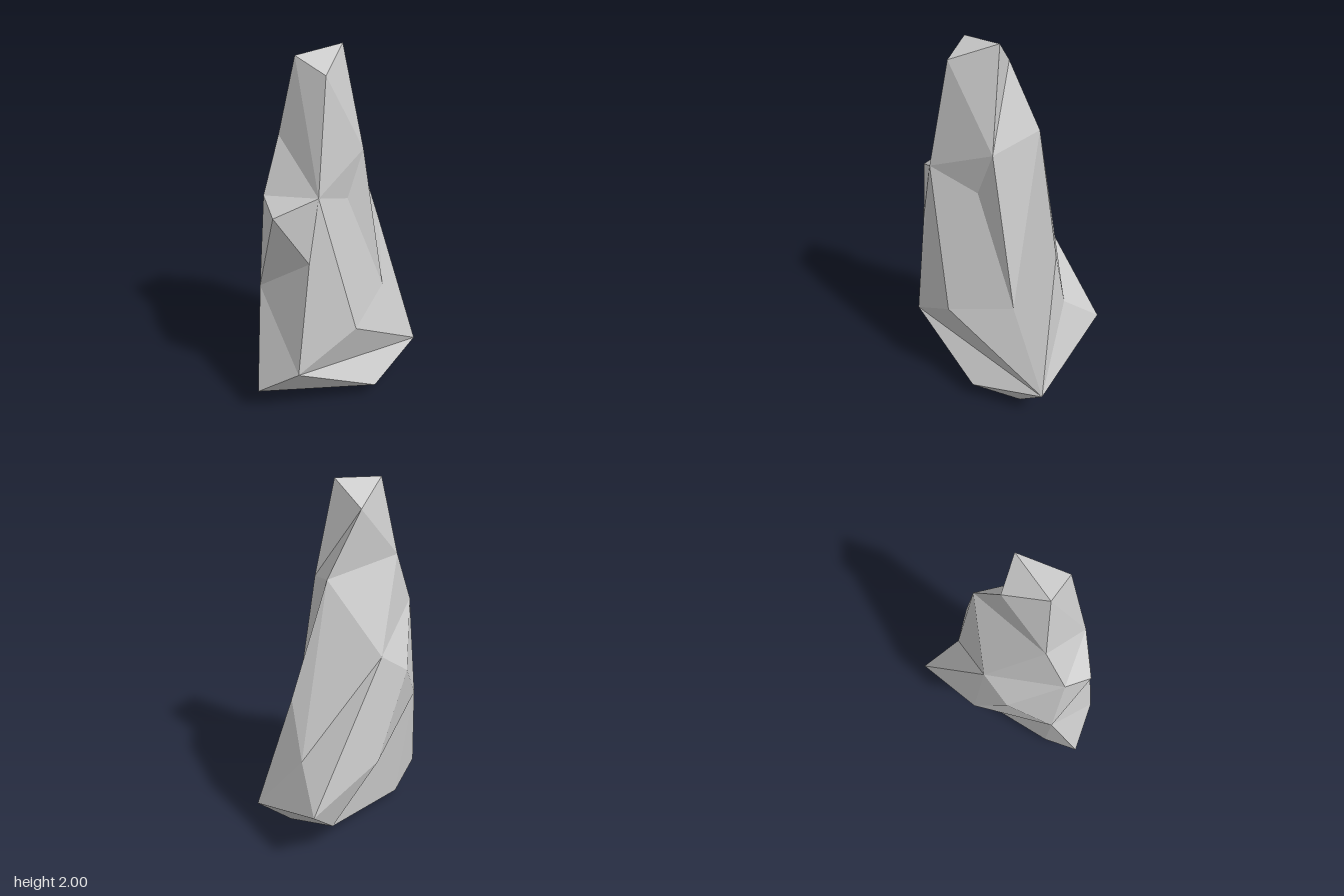
import * as THREE from 'three';

// Corners of the stone, grouped from the peak down to the foot.
const corners = {
  // peak
  A: [0.06, 2.0, 0.04], D: [0.01, 1.87, -0.1], B: [-0.195, 1.975, -0.01], C: [-0.155, 1.91, 0.165],
  // shoulder
  F: [0.105, 1.48, 0.152], G: [0.212, 1.56, -0.087], I: [-0.25, 1.58, -0.08], E: [-0.25, 1.34, 0.22],
  // waist
  a: [0.005, 1.235, 0.147], S: [0.258, 0.63, 0.17], U: [0.392, 0.93, -0.01], W: [0.403, 0.59, -0.095],
  V: [0.0, 1.14, -0.255], b: [-0.37, 1.295, -0.06], H: [-0.423, 1.235, 0.08], J: [-0.313, 1.0, 0.22],
  // skirt
  L: [-0.395, 0.355, 0.22], R: [-0.075, 0.555, 0.313], Q: [0.495, 0.175, 0.22], T: [0.495, 0.4, -0.313],
  Z: [0.06, 0.556, -0.308], Y: [-0.17, 1.01, -0.265], K: [-0.37, 0.74, -0.125],
  // foot
  P: [0.085, 0.09, 0.31], O: [0.31, 0.0, 0.165], X: [0.31, 0.2, -0.23],
  N: [-0.3, 0.05, -0.07], M: [-0.498, 0.16, -0.01],
};

export function createModel() {
  const positions = [];
  const tri = (...names) => names.forEach((n) => positions.push(...corners[n]));

  // Stitches two loops; each step moves on along the top (t) or bottom (b) loop.
  const band = (top, bottom, steps) => {
    let i = 0, j = 0;
    for (const step of steps) {
      const u = top[i % top.length], l = bottom[j % bottom.length];
      if (step === 't') tri(u, l, top[++i % top.length]);
      else tri(u, l, bottom[++j % bottom.length]);
    }
  };

  // Fills a loop with triangles from its first corner.
  const fan = (loop) => {
    for (let i = 1; i < loop.length - 1; i++) tri(loop[0], loop[i], loop[i + 1]);
  };

  fan('ADBC'); // peak facets
  band('ADBC', 'FGIE', 'tbbtbtbt'); // peak to shoulder
  band('FGIE', 'aSUWVbHJLR', 'btbbbtbtbbbbbt'); // shoulder to waist
  band('aSUWVbHJ', 'RQTZYKL', 'tbttbtbbtbttb'); // waist to skirt
  fan('RLQ'); // front ledge
  fan('YZK'); // back slope
  band('QTZKL', 'POXNM', 'bbtttbbtbt'); // skirt to foot
  fan('NXOPM'); // underside

  const geometry = new THREE.BufferGeometry();
  geometry.setAttribute('position', new THREE.Float32BufferAttribute(positions, 3));
  geometry.computeVertexNormals();

  const rock = new THREE.Mesh(
    geometry,
    new THREE.MeshStandardMaterial({ color: 0xcccccc, flatShading: true })
  );
  rock.name = 'rock';

  const group = new THREE.Group();
  group.name = 'standingRock';
  group.add(rock);
  return group;
}
